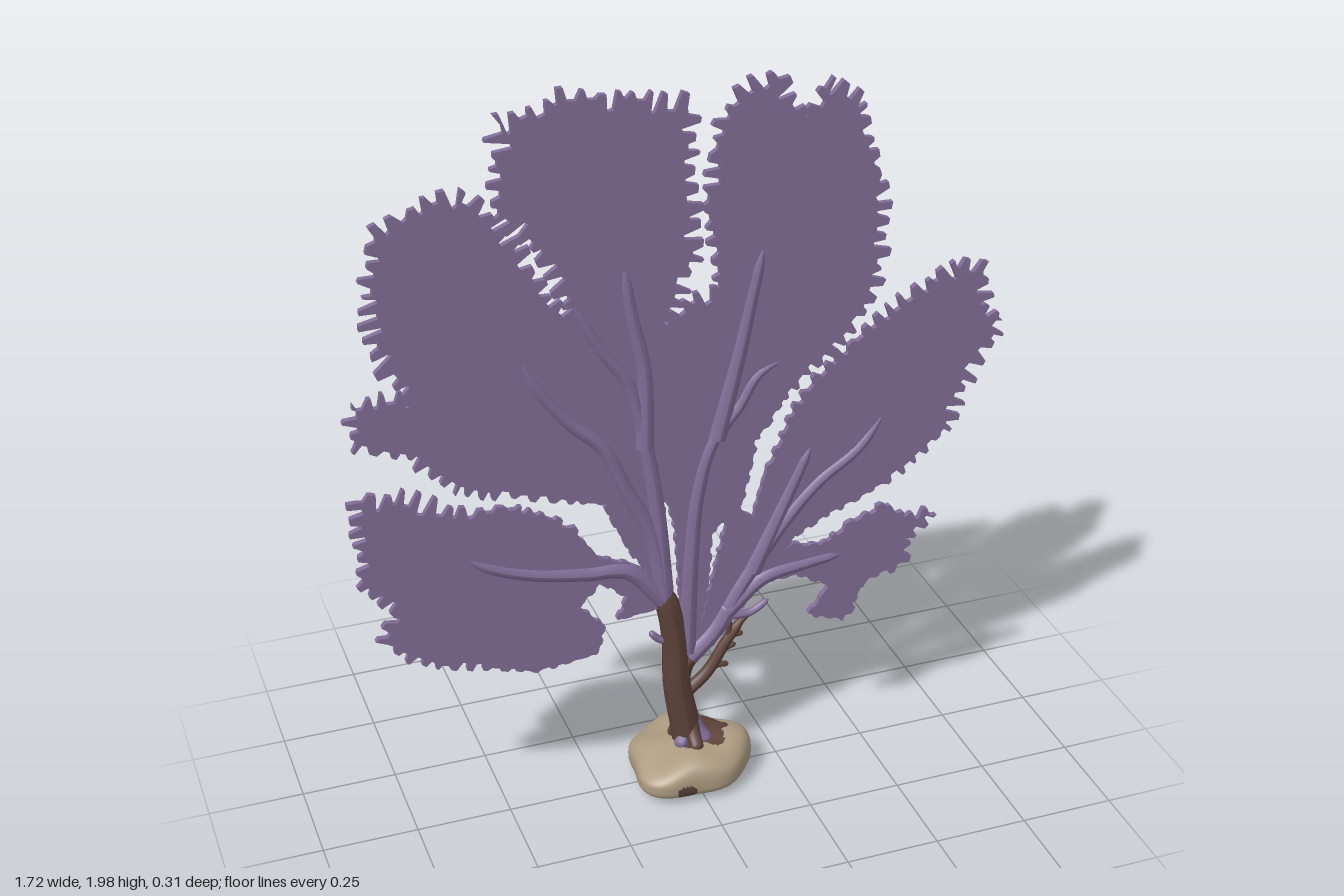
import * as THREE from 'three';

const purple = new THREE.MeshStandardMaterial({ color: 0x816d97 });
purple.name = 'fan purple';
const brown = new THREE.MeshStandardMaterial({ color: 0x5c4239 });
brown.name = 'stem brown';
const sand = new THREE.MeshStandardMaterial({ color: 0xab9a80 });
sand.name = 'rock sand';

// Seeded random numbers
function makeRandom(seed) {
  let s = seed;
  return () => {
    s = (s * 16807) % 2147483647;
    return s / 2147483647;
  };
}

const lerp = THREE.MathUtils.lerp;

// Thin fan lobe: outline with finger-like teeth that grow away from the stem
function lobe(name, points, seed) {
  const rand = makeRandom(seed);
  const pts = points.map(p => new THREE.Vector2(p[0], p[1]));
  const side = THREE.ShapeUtils.area(pts) > 0 ? 1 : -1;
  const outline = [];
  let out = false;
  pts.forEach((a, i) => {
    const b = pts[(i + 1) % pts.length];
    const dir = b.clone().sub(a);
    const len = dir.length();
    const n = new THREE.Vector2(dir.y, -dir.x).multiplyScalar(side / len);
    for (let d = 0.004; d < len - 0.004;) {
      const p = a.clone().addScaledVector(dir, d / len);
      const r = Math.hypot(p.x, (p.y - 0.55) * 0.8);
      const grow = THREE.MathUtils.smoothstep(r, 0.3, 0.85);
      const amp = 0.005 + 0.027 * grow;
      const offset = out ? amp * (0.15 + 0.85 * rand()) : -amp * (0.1 + 1.3 * rand() * rand());
      const w = 0.007 + 0.013 * rand();
      outline.push(p.clone().addScaledVector(n, offset));
      outline.push(p.clone().addScaledVector(dir, Math.min(w, len - d) / len).addScaledVector(n, offset * 0.9));
      d += w + 0.004 + 0.008 * rand();
      out = !out;
    }
  });
  const depth = 0.016;
  const geo = new THREE.ExtrudeGeometry(new THREE.Shape(outline), { depth, bevelEnabled: false });
  geo.translate(0, 0, -depth / 2);
  const mesh = new THREE.Mesh(geo, purple);
  mesh.name = name;
  return mesh;
}

// Tapered round branch through a few points
function branch(name, points, r0, r1, material) {
  const curve = new THREE.CatmullRomCurve3(points.map(p => new THREE.Vector3(p[0], p[1], p[2] || 0)));
  const rings = points.length * 6, sides = 12;
  const geo = new THREE.TubeGeometry(curve, rings, 1, sides);
  const pos = geo.attributes.position;
  const v = new THREE.Vector3();
  for (let i = 0; i <= rings; i++) {
    const t = i / rings;
    const c = curve.getPointAt(t);
    const tip = Math.sqrt(Math.max(0, Math.min(1, (1 - t) * 8)));
    const r = lerp(r0, r1, t) * tip;
    for (let j = 0; j <= sides; j++) {
      const k = i * (sides + 1) + j;
      v.fromBufferAttribute(pos, k).sub(c).multiplyScalar(r).add(c);
      pos.setXYZ(k, v.x, v.y, v.z);
    }
  }
  geo.computeVertexNormals();
  const mesh = new THREE.Mesh(geo, material);
  mesh.name = name;
  return mesh;
}

// Lumpy flat-bottomed rock with brown patches chosen face by face
function rock() {
  const geo = new THREE.SphereGeometry(1, 96, 56);
  const pos = geo.attributes.position;
  for (let i = 0; i < pos.count; i++) {
    const x = pos.getX(i), y = pos.getY(i), z = pos.getZ(i);
    const a = Math.atan2(z, x);
    const flat = Math.hypot(x, z);
    const spread = Math.pow(flat, 0.7) / Math.max(flat, 1e-6);
    const lump = flat * (0.07 * Math.sin(3 * a + 0.6) + 0.05 * Math.sin(5 * a + 2));
    const r = 0.157 * spread * (1 + lump);
    const top = 0.068 + 0.012 * Math.sin(4 * a + 1) * flat + 0.022 * x;
    const h = y > 0 ? top * Math.pow(y, 0.75) : -0.052 * Math.pow(-y, 0.6);
    pos.setXYZ(i, x * r * 1.04 - 0.007, 0.06 + h, z * r * 0.97);
  }
  geo.computeVertexNormals();
  const idx = geo.index.array, plain = [], patch = [];
  for (let f = 0; f < idx.length; f += 3) {
    const tri = [idx[f], idx[f + 1], idx[f + 2]];
    const mid = get => tri.reduce((s, k) => s + pos[get](k), 0) / 3;
    const x = mid('getX'), y = mid('getY'), z = mid('getZ');
    const wob = 1 + 0.25 * Math.sin(x * 70) * Math.cos(z * 60);
    const onTop = y > 0.09 && Math.hypot((x - 0.03) / 0.065, (z + 0.015) / 0.078) < wob;
    const below = y < 0.03 && (Math.hypot((x + 0.03) / 0.06, (z - 0.05) / 0.04) < wob
      || Math.hypot((x - 0.02) / 0.07, (z + 0.05) / 0.025) < wob);
    const front = z > 0.08 && Math.hypot((x + 0.055) / 0.028, (y - 0.045) / 0.02) < 1;
    (onTop || below || front ? patch : plain).push(...tri);
  }
  geo.setIndex(plain.concat(patch));
  geo.clearGroups();
  geo.addGroup(0, plain.length, 0);
  geo.addGroup(plain.length, patch.length, 1);
  const mesh = new THREE.Mesh(geo, [sand, brown]);
  mesh.name = 'rock';
  return mesh;
}

export function createModel() {
  const model = new THREE.Group();
  model.name = 'seaFan';
  model.add(rock());

  // Fan lobes
  const lobes = {
    lowerRightLobe: [[-0.85, 1.02], [-0.73, 1], [-0.6, 0.94], [-0.44, 0.92], [-0.31, 0.84], [-0.25, 0.74], [-0.16, 0.7],
      [-0.07, 0.62], [-0.08, 0.55], [-0.2, 0.54], [-0.17, 0.6], [-0.24, 0.66], [-0.3, 0.6], [-0.23, 0.53], [-0.25, 0.45],
      [-0.41, 0.43], [-0.54, 0.47], [-0.68, 0.51], [-0.81, 0.6], [-0.76, 0.68], [-0.85, 0.79], [-0.84, 0.92]],
    middleRightLobe: [[-0.08, 0.6], [-0.17, 0.75], [-0.23, 0.89], [-0.47, 0.96], [-0.6, 1.01], [-0.7, 1.11], [-0.84, 1.17],
      [-0.83, 1.28], [-0.7, 1.27], [-0.77, 1.38], [-0.79, 1.55], [-0.76, 1.69], [-0.68, 1.74], [-0.57, 1.77],
      [-0.49, 1.71], [-0.43, 1.62], [-0.36, 1.47], [-0.24, 1.35], [-0.1, 1.1], [-0.07, 0.75]],
    topRightLobe: [[-0.47, 1.7], [-0.47, 1.82], [-0.47, 1.92], [-0.3, 1.965], [-0.15, 1.95], [0, 1.91], [0, 1.69],
      [0.01, 1.53], [-0.03, 1.42], [-0.07, 1.36], [-0.06, 1.13], [-0.07, 0.8], [-0.05, 0.6], [-0.1, 0.62],
      [-0.18, 0.9], [-0.3, 1.2], [-0.31, 1.44], [-0.38, 1.6]],
    topLeftLobe: [[0.21, 1.965], [0.28, 1.84], [0.34, 1.92], [0.43, 1.86], [0.47, 1.71], [0.51, 1.6], [0.49, 1.4], [0.45, 1.29],
      [0.33, 1.18], [0.25, 1.1], [0.18, 1], [0.14, 0.82], [0.06, 0.75], [0.05, 0.6], [0.02, 0.42], [-0.02, 0.42],
      [-0.03, 0.6], [-0.04, 0.78], [-0.1, 1], [-0.1, 1.34], [0.01, 1.41], [0.07, 1.43], [0.06, 1.55], [0.04, 1.66],
      [0.06, 1.79], [0.1, 1.9]],
    middleLeftLobe: [[0.85, 1.22], [0.79, 1.27], [0.79, 1.37], [0.71, 1.4], [0.54, 1.3], [0.38, 1.19], [0.29, 1.08], [0.21, 0.92],
      [0.17, 0.77], [0.11, 0.83], [0.07, 0.65], [0.01, 0.4], [0.06, 0.4], [0.14, 0.5], [0.2, 0.59], [0.29, 0.69],
      [0.38, 0.74], [0.54, 0.8], [0.62, 0.86], [0.71, 0.94], [0.74, 1.05], [0.8, 1.13]],
    lowerLeftLobe: [[0.19, 0.6], [0.28, 0.67], [0.36, 0.65], [0.43, 0.69], [0.54, 0.74], [0.59, 0.69], [0.68, 0.69], [0.61, 0.61],
      [0.6, 0.54], [0.49, 0.51], [0.44, 0.4], [0.33, 0.44], [0.39, 0.52], [0.3, 0.57], [0.2, 0.57]],
  };
  Object.entries(lobes).forEach(([name, pts], i) => model.add(lobe(name, pts, 91 + i * 577)));

  // Raised purple veins, showing on both faces
  const veins = [
    [[-0.07, 0.57], [-0.17, 0.68], [-0.28, 0.695], [-0.41, 0.72], [-0.52, 0.76], [-0.6, 0.81]],
    [[-0.07, 0.57], [-0.1, 0.76], [-0.17, 0.92], [-0.23, 1.05], [-0.31, 1.13], [-0.39, 1.24], [-0.44, 1.35]],
    [[-0.07, 0.6], [-0.09, 0.85], [-0.12, 1.05], [-0.16, 1.21], [-0.23, 1.32], [-0.31, 1.48]],
    [[-0.12, 1.03], [-0.12, 1.24], [-0.15, 1.4], [-0.17, 1.54]],
    [[-0.01, 0.4], [0, 0.65], [0.02, 0.87], [0.06, 1.01], [0.13, 1.1], [0.18, 1.18], [0.27, 1.22]],
    [[0.07, 1.02], [0.13, 1.26], [0.16, 1.4], [0.19, 1.54]],
    [[0, 0.38], [0.07, 0.45], [0.14, 0.57], [0.25, 0.73], [0.35, 0.84], [0.46, 0.92], [0.54, 1.03]],
    [[0.17, 0.61], [0.23, 0.74], [0.28, 0.85], [0.33, 0.96]],
    [[0.1, 0.5], [0.2, 0.58], [0.32, 0.6], [0.43, 0.61]],
  ];
  veins.forEach((pts, i) => model.add(branch('vein' + (i + 1), pts, 0.026, 0.014, purple)));

  // Brown stem and its forks
  model.add(branch('stem', [[0, 0.08], [-0.015, 0.18], [-0.035, 0.3], [-0.04, 0.42], [-0.055, 0.53], [-0.085, 0.63]], 0.043, 0.03, brown));
  model.add(branch('stemFork', [[-0.03, 0.3], [-0.015, 0.36], [0.03, 0.41]], 0.028, 0.024, brown));
  model.add(branch('sideTwig', [[-0.02, 0.26], [0.05, 0.32], [0.1, 0.4], [0.15, 0.47]], 0.018, 0.013, brown));

  // Short bare twigs
  const twigs = [[0.06, 0.33, 0.11, 0.33], [0.08, 0.37, 0.13, 0.39], [0.1, 0.41, 0.15, 0.42], [0.13, 0.44, 0.17, 0.48], [0.11, 0.42, 0.11, 0.48]];
  twigs.forEach(([x0, y0, x1, y1]) =>
    model.add(branch('twig', [[x0, y0], [(x0 + x1) / 2, (y0 + y1) / 2 + 0.005], [x1, y1]], 0.01, 0.007, brown)));
  model.add(branch('purpleTwig', [[0.12, 0.48], [0.17, 0.48], [0.22, 0.51]], 0.012, 0.009, purple));
  model.add(branch('purpleTwig', [[-0.04, 0.45], [-0.08, 0.45], [-0.11, 0.48]], 0.012, 0.009, purple));

  // Holdfast roots spreading over the rock
  for (let i = 0; i < 6; i++) {
    const a = i * Math.PI / 3 + 0.5, c = Math.cos(a), s = Math.sin(a);
    model.add(branch('root', [[0, 0.2, 0], [c * 0.022, 0.15, s * 0.03], [c * 0.05, 0.115, s * 0.07]], 0.022, 0.018, i % 2 ? brown : purple));
  }

  // Rest the rock on the ground
  const box = new THREE.Box3().setFromObject(model);
  model.position.y = -box.min.y;
  return model;
}
